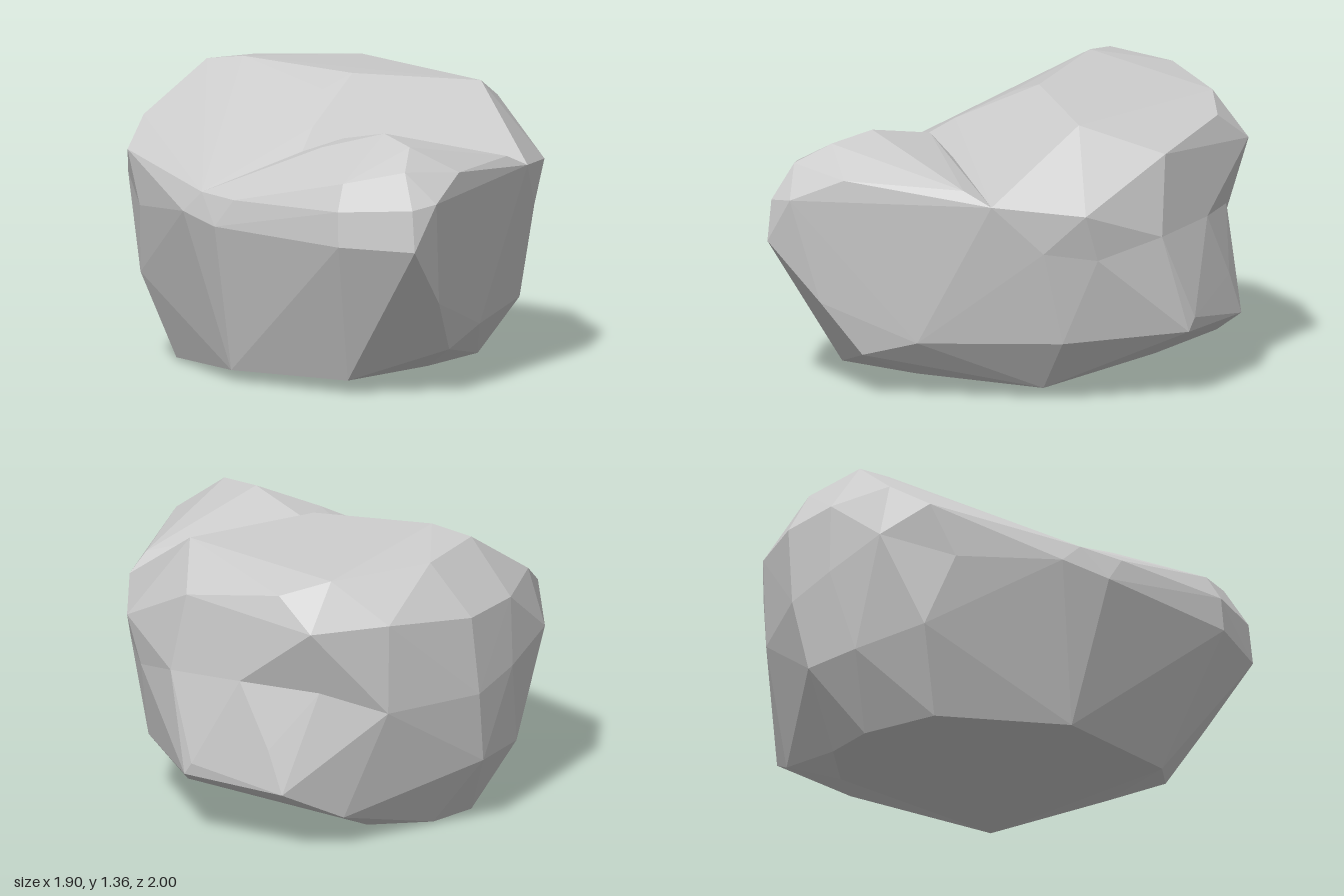
import * as THREE from 'three';
import { ConvexGeometry } from 'three/addons/geometries/ConvexGeometry.js';

const stone = new THREE.MeshStandardMaterial({ color: 0xcccccc, flatShading: true });

// A faceted stone wrapped around its corner points
function makeStone(name, corners) {
  const mesh = new THREE.Mesh(
    new ConvexGeometry(corners.map(c => new THREE.Vector3(...c))), stone);
  mesh.name = name;
  return mesh;
}

// Corners of the underside
const base = [
  [-0.69, 0.06, 0.5], [-0.7, 0.05, -0.14], [-0.35, 0.01, -0.69], [0, 0, -0.77],
  [0.25, 0.01, -0.7], [0.42, 0.01, -0.45], [0.34, 0.05, 0.5], [-0.24, 0.08, 0.63]
];

// Corners along the front face
const front = [
  [-0.4, 0.2, 0.86], [-0.13, 0.28, 0.84], [0.46, 0.74, 0.73], [0.25, 0.96, 0.84]
];

// Waist where the upper and lower mass meet, pinched on the right and back left
const waist = [
  [0.66, 0.7, 0.58], [0.86, 0.78, 0.33], [0.9, 0.8, -0.04], [0.81, 0.77, -0.4],
  [0.67, 0.67, -0.68], [0.28, 0.68, -0.95], [0.02, 0.74, -0.99], [-0.29, 0.83, -1],
  [-0.54, 0.73, -0.76], [-0.62, 0.65, -0.57], [-0.81, 0.78, -0.33], [-0.89, 0.74, -0.1]
];

// Upper mass: sloping top with a steep face towards the notch
const upperCorners = [
  ...waist, ...front.slice(2),
  // top
  [0.02, 1.36, -0.58], [0.06, 1.33, 0], [-0.1, 1.27, -0.05], [0.48, 1.28, 0.42],
  [0.02, 1.33, -0.78], [0.36, 1.31, -0.74], [0.73, 1.29, -0.42], [0.86, 1.23, -0.22],
  [0.84, 1.15, 0.26], [-0.34, 1.14, 0.06], [-0.48, 1.05, 0.1],
  // right, back and left rims
  [0.64, 0.92, 0.66], [0.92, 1.09, -0.41], [0.68, 1.1, -0.69], [0.32, 1.06, -0.93],
  [0.02, 1.07, -0.98], [-0.28, 1.1, -0.92], [-0.48, 0.97, -0.87], [-0.82, 0.88, -0.22]
];

// Lower mass: right foot, tapering back and flat underside
const lowerCorners = [
  ...base, ...front, ...waist,
  [0.5, 0.3, 0.62], [0.94, 0.32, 0.22], [0.95, 0.38, 0.18], [0.93, 0.5, -0.2],
  [0.95, 0.3, -0.28], [0.72, 0.15, -0.48], [0.2, 0.33, -0.93], [-0.1, 0.33, -0.95],
  [-0.42, 0.4, -0.84]
];

// Low shoulder: front left corner with the shelf beside it
const shoulderCorners = [
  ...base.slice(0, 2), base[7], ...front,
  // crest and shelf
  [-0.5, 1.18, 0.57], [-0.58, 1.1, 0.28], [-0.37, 1.11, 0.25], [-0.6, 1.15, 0.78],
  [-0.35, 1.1, 0.79], [0.1, 1.02, 0.83], [-0.25, 1.02, 0.91], [-0.45, 1.03, 0.95],
  [-0.75, 1.06, 0.86],
  // front corner
  [-0.7, 0.92, 1], [-0.83, 0.71, 0.97], [-0.58, 0.44, 0.93], [-0.82, 0.9, 0.95],
  // left flank, running back into the upper mass
  [-0.87, 1, 0.6], [-0.94, 0.88, 0.62], [-0.95, 0.72, 0.63], [-0.9, 0.74, 0.1],
  [-0.88, 0.87, 0], [-0.89, 0.74, -0.1], [-0.81, 0.78, -0.33], [-0.82, 0.88, -0.22],
  [-0.48, 1.05, 0.1]
];

export function createModel() {
  const rock = new THREE.Group();
  rock.name = 'rock';
  rock.add(makeStone('upperMass', upperCorners));
  rock.add(makeStone('lowerMass', lowerCorners));
  rock.add(makeStone('lowShoulder', shoulderCorners));
  return rock;
}
